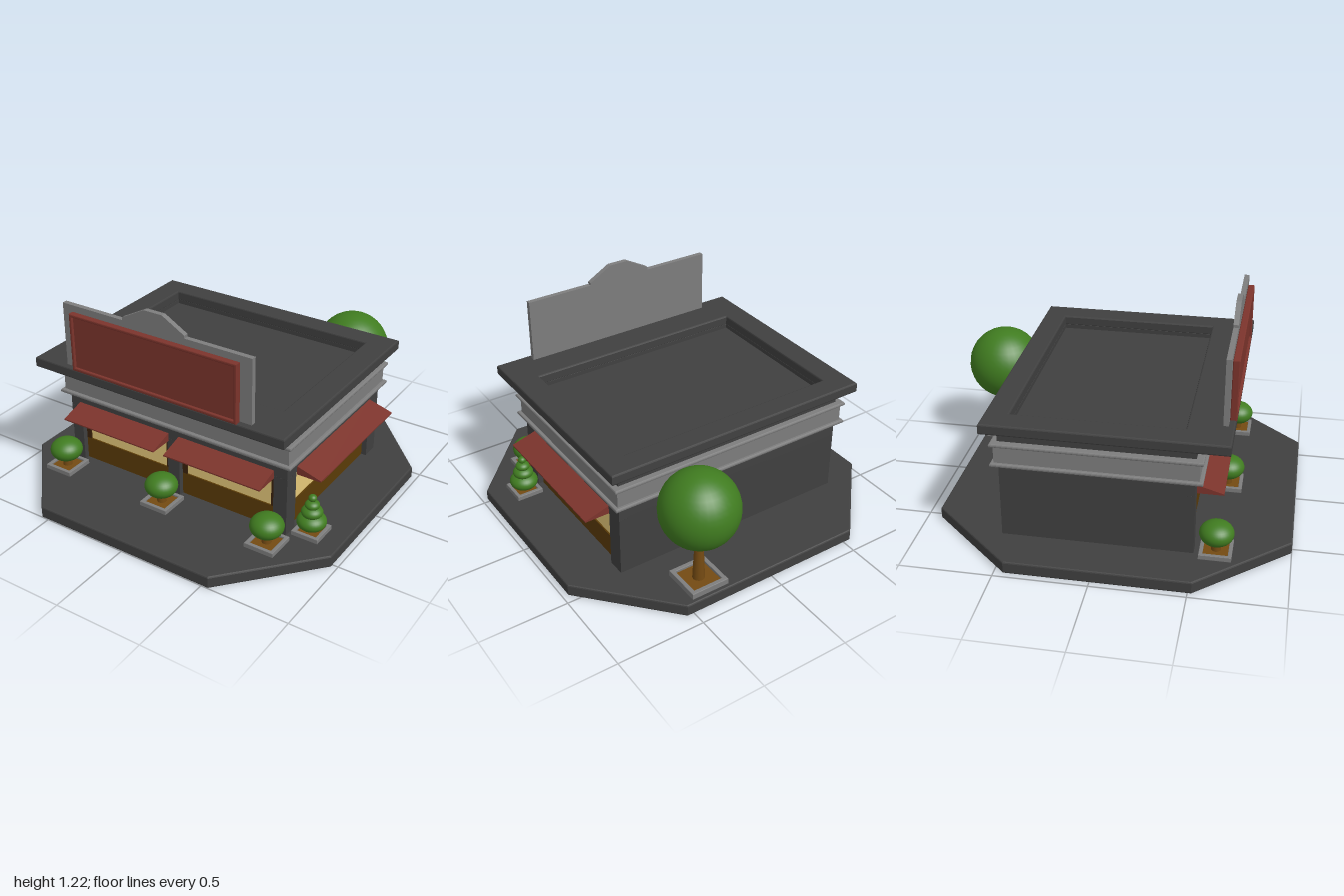
import * as THREE from 'three';

const mat = (name, color) => {
  const m = new THREE.MeshStandardMaterial({ color });
  m.name = name;
  return m;
};

export function createModel() {
  const root = new THREE.Group();
  root.name = 'cornerShop';
  const dark = mat('charcoal', 0x404040);
  const grey = mat('trimGrey', 0x7d7d7d);
  const red = mat('awningRed', 0x7c342c);
  const glass = mat('warmGlass', 0xe6c97a);
  const wood = mat('panelBrown', 0x5a3b07);
  const frame = mat('frameBrown', 0x3a220a);
  const bark = mat('bark', 0x744a12);
  const green = mat('leafGreen', 0x407c20);

  const add = (name, geo, m, parent = root) => {
    const mesh = new THREE.Mesh(geo, m);
    mesh.name = name;
    parent.add(mesh);
    return mesh;
  };
  const group = (name, x, y, z) => {
    const g = new THREE.Group();
    g.name = name;
    g.position.set(x, y, z);
    root.add(g);
    return g;
  };
  // Box given by its limits
  const box = (name, m, x0, x1, y0, y1, z0, z1, parent = root) => {
    const geo = new THREE.BoxGeometry(x1 - x0, y1 - y0, z1 - z0);
    geo.translate((x0 + x1) / 2, (y0 + y1) / 2, (z0 + z1) / 2);
    return add(name, geo, m, parent);
  };
  const rect = (x0, x1, z0, z1) => [[x0, z0], [x1, z0], [x1, z1], [x0, z1]];
  const vectors = (pts, s = 1) => pts.map(([x, y]) => new THREE.Vector2(x, s * y));
  // Horizontal slab with bevelled edges and an optional hole (wound the other way), outline in x and z
  const slab = (name, m, pts, y0, y1, b, hole, parent = root) => {
    const shape = new THREE.Shape(vectors(pts, -1));
    if (hole) shape.holes.push(new THREE.Path(vectors(hole, -1).reverse()));
    const geo = new THREE.ExtrudeGeometry(shape, {
      depth: y1 - y0 - 2 * b, bevelEnabled: true, bevelSize: b, bevelThickness: b,
      bevelOffset: -b, bevelSegments: 2,
    });
    geo.rotateX(-Math.PI / 2).translate(0, y0 + b, 0);
    return add(name, geo, m, parent);
  };

  // Pavement
  slab('pavement', dark, [[-0.54, -0.92], [0.54, -0.92], [0.97, -0.45], [0.97, 0.52],
    [0.54, 1], [-0.54, 1], [-0.97, 0.52], [-0.97, -0.45]], 0, 0.068, 0.008);

  // Walls: core, pillars around the openings, and the wall above them
  const roofWell = rect(-0.66, 0.618, -0.464, 0.436);
  box('wallCore', dark, -0.72, 0.64, 0.06, 0.42, -0.52, 0.45);
  slab('upperWall', dark, rect(-0.72, 0.69, -0.52, 0.5), 0.41, 0.71, 0.001, roofWell);
  box('frontPillarRight', dark, -0.72, -0.65, 0.06, 0.41, 0.45, 0.5);
  box('frontPillarMiddle', dark, -0.055, 0.02, 0.06, 0.41, 0.45, 0.5);
  box('cornerPillar', dark, 0.61, 0.69, 0.06, 0.41, 0.41, 0.5);
  box('sidePillarBack', dark, 0.64, 0.69, 0.06, 0.41, -0.52, -0.42);

  // Shop windows with awnings, built facing +z
  const shopWindow = (name, x, z, w, awningW, turn) => {
    const g = group(name, x, 0, z);
    g.rotation.y = turn;
    const h = w / 2;
    box('lowerPanel', wood, -h, h, 0.06, 0.2, -0.05, -0.03, g);
    box('glassPane', glass, -h + 0.03, h - 0.03, 0.2, 0.385, -0.05, -0.038, g);
    for (const s of [-1, 1]) {
      const c = s * (h - 0.015);
      box('frameSide', frame, c - 0.015, c + 0.015, 0.2, 0.41, -0.05, -0.03, g);
    }
    box('frameTop', frame, -h + 0.03, h - 0.03, 0.385, 0.41, -0.05, -0.03, g);
    const profile = new THREE.Shape(vectors([[0, 0.395], [0.14, 0.395], [0.14, 0.402], [0, 0.443]]));
    const awning = new THREE.ExtrudeGeometry(profile, { depth: awningW, bevelEnabled: false });
    awning.rotateY(-Math.PI / 2).translate(awningW / 2, 0, 0);
    add('awning', awning, red, g);
  };
  shopWindow('frontWindowRight', -0.3525, 0.5, 0.595, 0.612, 0);
  shopWindow('frontWindowLeft', 0.315, 0.5, 0.59, 0.592, 0);
  shopWindow('sideWindow', 0.69, -0.007, 0.826, 0.82, Math.PI / 2);

  // Cornice band with two ridges, open in the middle around the roof well
  slab('corniceBand', grey, rect(-0.742, 0.706, -0.537, 0.52), 0.5, 0.625, 0.003, roofWell);
  for (const y of [0.496, 0.611])
    slab('corniceRidge', grey, rect(-0.76, 0.725, -0.555, 0.54), y, y + 0.02, 0.007, roofWell);

  // Roof rim with a sunken floor
  slab('roofRim', dark, rect(-0.8, 0.763, -0.592, 0.673), 0.705, 0.763, 0.008, roofWell);
  box('roofFloor', dark, -0.68, 0.64, 0.66, 0.685, -0.48, 0.45);

  // Sign board with peaked top, and a red panel with a raised border
  const board = new THREE.Shape(vectors([[-0.6, 0.755], [0.562, 0.755], [0.562, 1.125], [0.172, 1.125],
    [0.172, 1.14], [0.04, 1.215], [-0.07, 1.215], [-0.21, 1.14], [-0.21, 1.125], [-0.6, 1.125]]));
  add('signBoard', new THREE.ExtrudeGeometry(board, { depth: 0.028, bevelEnabled: false })
    .translate(0, 0, 0.613), grey);
  box('signPanel', red, -0.525, 0.485, 0.766, 1.08, 0.641, 0.663);
  const border = new THREE.Shape(vectors([[-0.535, 0.76], [0.495, 0.76], [0.495, 1.09], [-0.535, 1.09]]));
  border.holes.push(new THREE.Path(vectors([[-0.518, 0.778], [0.478, 0.778], [0.478, 1.073], [-0.518, 1.073]])));
  add('signBorder', new THREE.ExtrudeGeometry(border, {
    depth: 0.026, bevelEnabled: true, bevelSize: 0.005, bevelThickness: 0.005, bevelOffset: -0.005, bevelSegments: 2,
  }).translate(0, 0, 0.646), red);

  // Square planter with soil; plants stand in its group
  const planter = (name, x, z, w, h, rim) => {
    const g = group(name, x, 0.068, z);
    const a = w / 2, b = a - rim;
    slab('planterRim', grey, rect(-a, a, -a, a), 0, h, 0.003, rect(-b, b, -b, b), g);
    box('soil', bark, -b - 0.005, b + 0.005, 0, h * 0.6, -b - 0.005, b + 0.005, g);
    return g;
  };
  const trunk = (r0, r1, h, parent) =>
    add('trunk', new THREE.CylinderGeometry(r1, r0, h, 12).translate(0, h / 2 + 0.01, 0), bark, parent);
  const ball = (name, r, ry, y, parent) =>
    add(name, new THREE.SphereGeometry(r, 32, 20).scale(1, ry / r, 1).translate(0, y, 0), green, parent);

  // Round tree at the back
  const tree = planter('tree', 0.383, -0.787, 0.22, 0.036, 0.024);
  trunk(0.034, 0.022, 0.27, tree);
  ball('crown', 0.213, 0.213, 0.47, tree);

  // Front bushes on short trunks
  for (const x of [-0.685, -0.02, 0.643]) {
    const bush = planter('bush', x, 0.613, 0.17, 0.028, 0.02);
    trunk(0.027, 0.022, 0.07, bush);
    ball('foliage', 0.091, 0.065, 0.117, bush);
  }

  // Tiered topiary beside the corner
  const topiary = planter('topiary', 0.785, 0.4, 0.155, 0.028, 0.02);
  for (const [r, ry, y] of [[0.08, 0.05, 0.074], [0.058, 0.035, 0.132], [0.04, 0.026, 0.174], [0.023, 0.02, 0.215]])
    ball('tier', r, ry, y, topiary);

  return root;
}
